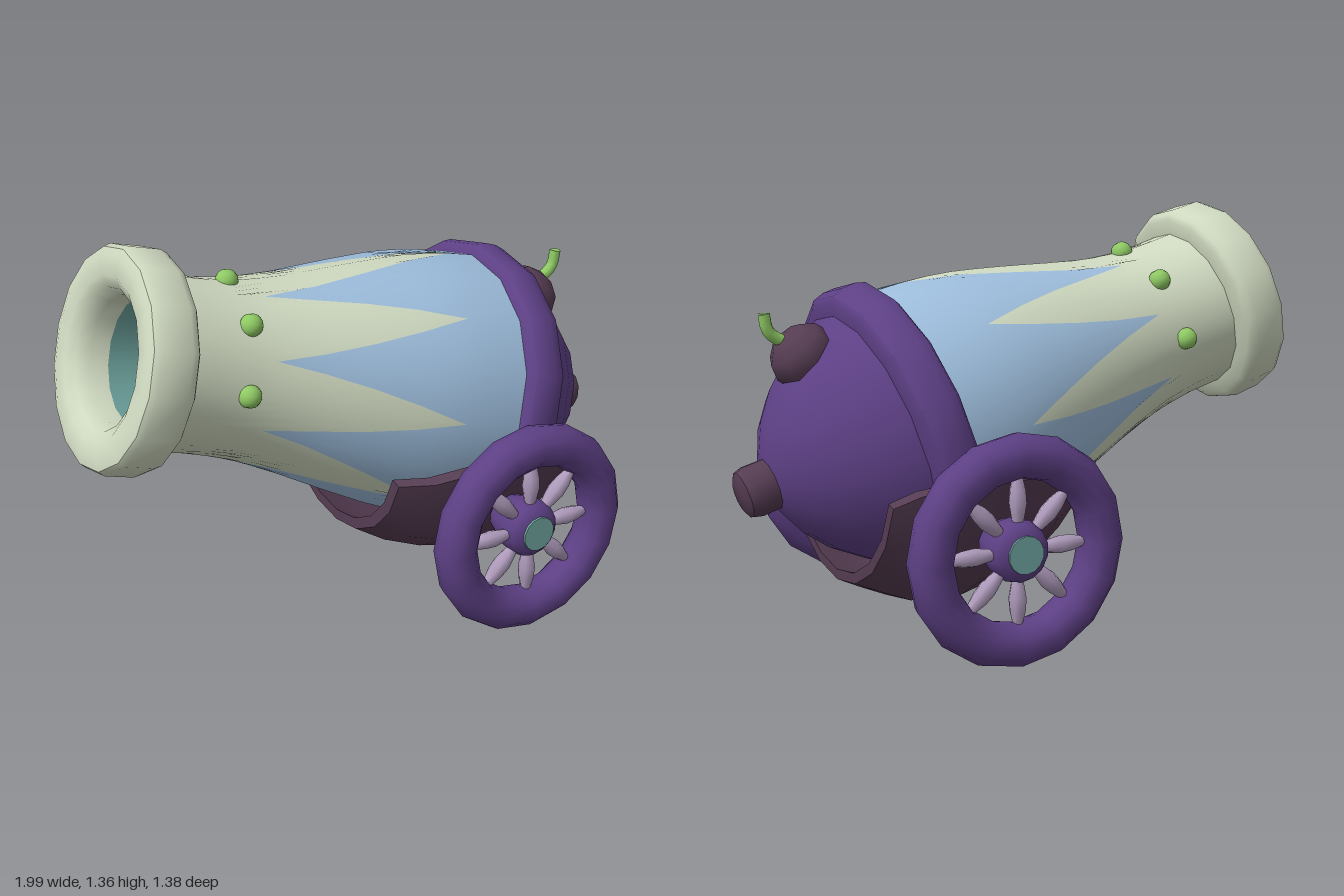
import * as THREE from 'three';
import { toCreasedNormals } from 'three/addons/utils/BufferGeometryUtils.js';

const SIDES = 16;
const mat = (name, color) => {
  const m = new THREE.MeshStandardMaterial({ color });
  m.name = name;
  return m;
};
const V2 = (p) => p.map(([r, y]) => new THREE.Vector2(r, y));
const lathe = (points, sides = SIDES, crease = 0.75) =>
  toCreasedNormals(new THREE.LatheGeometry(V2(points), sides), crease);

// Barrel radius along its axis, measured from the muzzle
const PROFILE = [[0.12, 0.285], [0.3, 0.284], [0.44, 0.294], [0.6, 0.327], [0.83, 0.39],
  [1.02, 0.438], [1.12, 0.456], [1.24, 0.468], [1.4, 0.475]];
function barrelRadius(s) {
  for (let i = 1; i < PROFILE.length; i++) {
    const [s0, r0] = PROFILE[i - 1], [s1, r1] = PROFILE[i];
    if (s <= s1) return r0 + (r1 - r0) * (s - s0) / (s1 - s0);
  }
  return 0.475;
}

// Zigzag border between the two barrel paints; u counts sides from the top
function zigzag(u) {
  const tip = (j) => (j % 2 ? 0.464 : j % SIDES === 0 ? 1.23 : 1.12);
  const j = Math.floor(u);
  return THREE.MathUtils.lerp(tip(j), tip(j + 1), u - j);
}

// Sixteen-sided barrel skin between two borders
function barrelSkin(from, to) {
  const cols = SIDES * 4, rows = 12, pos = [], nor = [], idx = [];
  const n = new THREE.Vector3();
  for (let c = 0; c <= cols; c++) {
    const u = c / 4, j = Math.floor(u), f = u - j, step = (2 * Math.PI) / SIDES;
    const up = THREE.MathUtils.lerp(Math.cos(j * step), Math.cos((j + 1) * step), f);
    const side = THREE.MathUtils.lerp(Math.sin(j * step), Math.sin((j + 1) * step), f);
    for (let k = 0; k <= rows; k++) {
      const s = THREE.MathUtils.lerp(from(u), to(u), k / rows), r = barrelRadius(s);
      const slope = (barrelRadius(s + 0.06) - barrelRadius(Math.max(0.12, s - 0.06))) / 0.12;
      pos.push(-up * r, s, side * r);
      n.set(-Math.cos(u * step), -slope, Math.sin(u * step)).normalize();
      nor.push(n.x, n.y, n.z);
      if (c < cols && k < rows) {
        const a = c * (rows + 1) + k, b = a + rows + 1;
        idx.push(a, b, a + 1, b, b + 1, a + 1);
      }
    }
  }
  const g = new THREE.BufferGeometry();
  g.setAttribute('position', new THREE.Float32BufferAttribute(pos, 3));
  g.setAttribute('normal', new THREE.Float32BufferAttribute(nor, 3));
  g.setIndex(idx);
  return g;
}

// Curved trough: arcs of changing radius swept along x
function cradleGeometry() {
  // x, outer radius, thickness, half angle
  const stations = [[-0.05, 0.41, 0.04, 1.3], [0.05, 0.475, 0.045, 1.36], [0.18, 0.53, 0.05, 1.45],
    [0.3, 0.56, 0.05, 1.46], [0.48, 0.55, 0.05, 1.46], [0.58, 0.505, 0.045, 1.4], [0.655, 0.468, 0.035, 1.3]];
  const n = 8, loop = 2 * (n + 1), pos = [], idx = [];
  for (const [x, r, t, A] of stations) {
    for (let k = 0; k < loop; k++) {
      const inner = k > n, q = inner ? loop - 1 - k : k;
      const a = A * (2 * q / n - 1), rr = inner ? r - t : r;
      pos.push(x, 0.635 - rr * Math.cos(a), rr * Math.sin(a));
    }
  }
  for (let i = 0; i < stations.length - 1; i++) {
    for (let k = 0; k < loop; k++) {
      const a = i * loop + k, b = i * loop + (k + 1) % loop;
      idx.push(a, a + loop, b, b, a + loop, b + loop);
    }
  }
  const last = (stations.length - 1) * loop;
  for (let k = 0; k < n; k++) {
    const o = k, o1 = k + 1, i = loop - 1 - k, i1 = loop - 2 - k;
    idx.push(o, o1, i, o1, i1, i);
    idx.push(last + o, last + i, last + o1, last + o1, last + i, last + i1);
  }
  const g = new THREE.BufferGeometry();
  g.setAttribute('position', new THREE.Float32BufferAttribute(pos, 3));
  g.setIndex(idx);
  return toCreasedNormals(g, 0.7);
}

export function createModel() {
  const purple = mat('purple', 0x5d4085), pale = mat('pale sage', 0xcfd9c0), blue = mat('sky blue', 0x9dbddc),
    plum = mat('dark plum', 0x553c52), green = mat('lime green', 0x8fca64),
    mauve = mat('mauve', 0xae9abb), teal = mat('teal', 0x6fa5a0);
  const model = new THREE.Group();
  model.name = 'cannon';
  const add = (parent, name, geometry, material, x = 0, y = 0, z = 0) => {
    const m = new THREE.Mesh(geometry, material);
    m.name = name;
    m.position.set(x, y, z);
    parent.add(m);
    return m;
  };

  // Barrel group: local y runs from muzzle to breech, local -x is up
  const barrel = new THREE.Group();
  barrel.name = 'barrel';
  barrel.position.set(-0.905, 1.03, 0);
  barrel.rotation.z = -THREE.MathUtils.degToRad(106);
  model.add(barrel);

  add(barrel, 'barrelFront', barrelSkin(() => 0.14, zigzag), pale);
  add(barrel, 'barrelRear', barrelSkin(zigzag, () => 1.38), blue);
  add(barrel, 'muzzleRing', lathe([[0.2, 0.14], [0.205, 0.07], [0.225, 0.025], [0.26, 0.003], [0.32, 0],
    [0.35, 0.008], [0.362, 0.03], [0.364, 0.13], [0.355, 0.155], [0.335, 0.168], [0.28, 0.172]]), pale);
  add(barrel, 'bore', lathe([[0, 0.65], [0.2, 0.65], [0.2, 0.13]]), teal);
  add(barrel, 'breechBand', lathe([[0.46, 1.335], [0.488, 1.335], [0.51, 1.35], [0.52, 1.385], [0.518, 1.43],
    [0.505, 1.47], [0.48, 1.485], [0.43, 1.49]]), purple);
  add(barrel, 'breechDome', lathe([[0.455, 1.45], [0.435, 1.51], [0.375, 1.62], [0.285, 1.73], [0.2, 1.8],
    [0.1, 1.852], [0, 1.87]]), purple);
  add(barrel, 'breechKnob', lathe([[0.085, 1.8], [0.087, 1.92], [0.078, 1.95], [0.055, 1.962], [0, 1.964]], 12), plum);

  // Studs around the upper half
  for (let i = -2; i <= 2; i++) {
    const a = i * Math.PI / 4;
    add(barrel, 'stud', new THREE.SphereGeometry(0.038, 10, 8), green,
      -Math.cos(a) * 0.288, 0.385, Math.sin(a) * 0.288);
  }

  // Fuse holder and fuse
  const holder = add(model, 'fuseHolder', new THREE.SphereGeometry(0.115, 8, 6), plum, 0.755, 0.925, 0);
  holder.rotation.z = -0.7;
  holder.scale.y = 0.85;
  const fusePath = new THREE.CatmullRomCurve3([[0.79, 0.97], [0.84, 0.985], [0.872, 1.015], [0.883, 1.068]]
    .map(([x, y]) => new THREE.Vector3(x, y, 0)));
  add(model, 'fuse', new THREE.TubeGeometry(fusePath, 8, 0.02, 8), green);
  const tip = add(model, 'fuseTip', new THREE.CircleGeometry(0.02, 8), green, 0.883, 1.068, 0);
  tip.rotation.x = -Math.PI / 2;

  add(model, 'cradle', cradleGeometry(), plum);

  // Wheels, outer face along local +z
  for (const side of [1, -1]) {
    const wheel = new THREE.Group();
    wheel.name = side > 0 ? 'frontWheel' : 'backWheel';
    wheel.position.set(0.32, 0.375, side * 0.62);
    if (side < 0) wheel.rotation.y = Math.PI;
    model.add(wheel);
    add(wheel, 'tyre', new THREE.TorusGeometry(0.298, 0.071, 12, SIDES), purple);
    const hub = add(wheel, 'hub', lathe([[0, -0.12], [0.07, -0.12], [0.095, -0.05], [0.1, 0], [0.092, 0.03],
      [0.07, 0.05], [0, 0.052]], 14), purple);
    hub.rotation.x = Math.PI / 2;
    const cap = add(wheel, 'hubCap', new THREE.CylinderGeometry(0.06, 0.06, 0.008, 14), teal, 0, 0, 0.054);
    cap.rotation.x = Math.PI / 2;
    for (let i = 0; i < 8; i++) {
      const spoke = add(wheel, 'spoke', lathe([[0.014, 0.07], [0.022, 0.11], [0.029, 0.15], [0.026, 0.19],
        [0.014, 0.24]], 8, 1), mauve);
      spoke.rotation.z = i * Math.PI / 4;
    }
  }
  return model;
}
